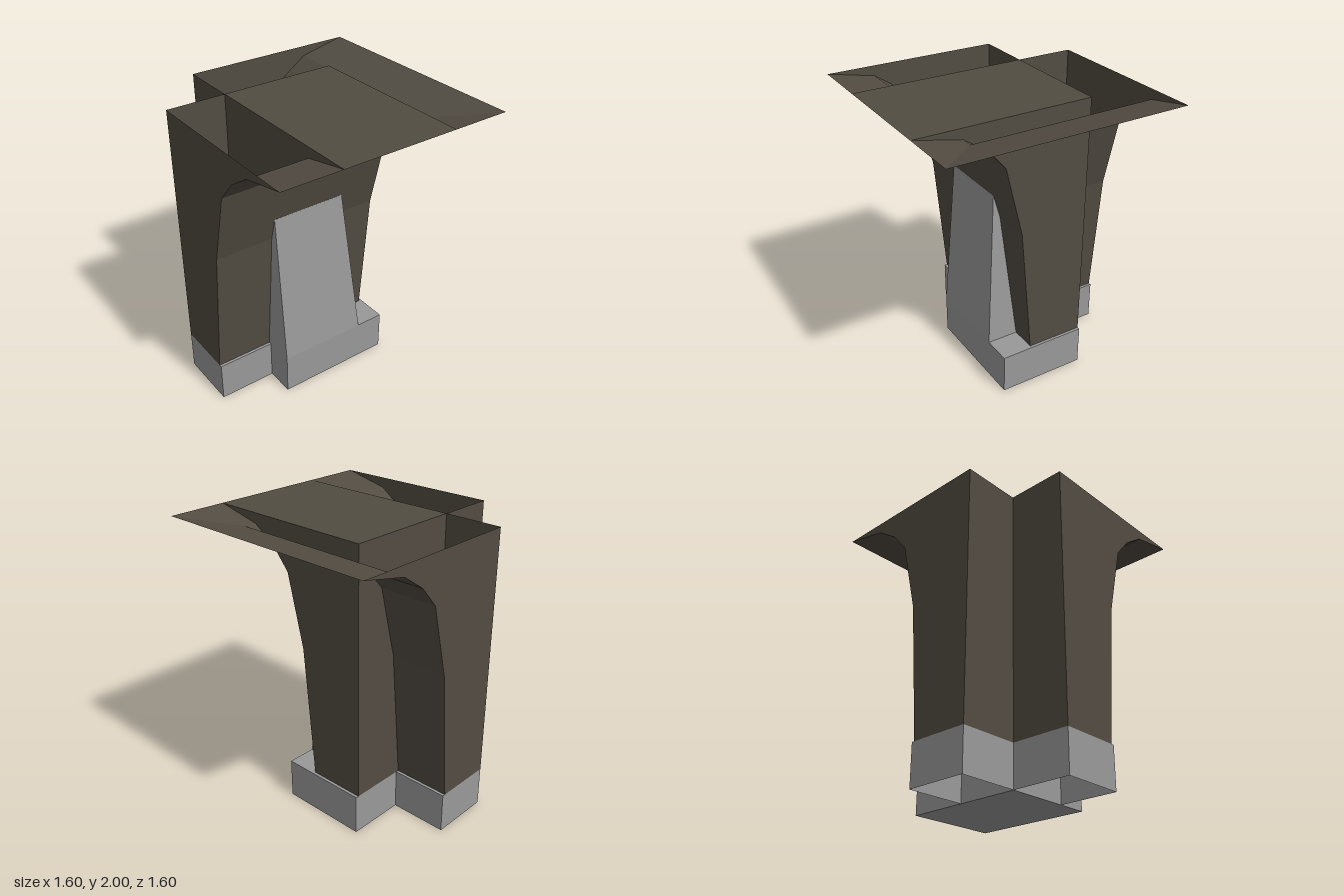
import * as THREE from 'three';

const stone = new THREE.MeshStandardMaterial({ color: 0x524c42, side: THREE.DoubleSide });
stone.name = 'brown stone';
const plinth = new THREE.MeshStandardMaterial({ color: 0x999999, side: THREE.DoubleSide });
plinth.name = 'grey stone';

const R = 0.4;       // half width of the core
const E = 0.8;       // reach of the arms
const BASE = 0.28;   // plinth height
const TOP = 2;

// Vault profile: overhang, height
const profile = [
  [0, BASE], [0.08, 1.19], [0.2, 1.68], [0.32, 1.82], [R, 1.875], [0.48, 1.93], [E, TOP],
];

export function createModel() {
  const group = new THREE.Group();

  const add = (name, geometry, material) => {
    const mesh = new THREE.Mesh(geometry, material);
    mesh.name = name;
    group.add(mesh);
    return mesh;
  };

  // Flat-faced strip between two polylines
  const strip = (a, b) => {
    const pos = [];
    for (let i = 0; i < a.length - 1; i++) {
      pos.push(...a[i], ...a[i + 1], ...b[i + 1], ...a[i], ...b[i + 1], ...b[i]);
    }
    const g = new THREE.BufferGeometry();
    g.setAttribute('position', new THREE.Float32BufferAttribute(pos, 3));
    g.computeVertexNormals();
    return g;
  };

  // Upright wall from (x0, z0) to (x1, z1)
  const wall = (x0, z0, x1, z1, y0, y1) =>
    strip([[x0, y0, z0], [x1, y0, z1]], [[x0, y1, z0], [x1, y1, z1]]);

  // Curved faces, mitred along the groin
  add('sideVault', strip(
    profile.map(([d, y]) => [d, y, -Math.max(R, d)]),
    profile.map(([d, y]) => [d, y, E])), stone);
  add('rearVault', strip(
    profile.map(([d, y]) => [-E, y, -d]),
    profile.map(([, y]) => [-R, y, -0].map((v, i) => (i === 2 ? -profile.find((p) => p[1] === y)[0] : v)))), stone);
  const upper = profile.filter(([d]) => d >= R);
  add('rearVaultCorner', strip(
    upper.map(([d, y]) => [-R, y, -d]),
    upper.map(([d, y]) => [d, y, -d])), stone);

  // Profile-shaped end faces
  const shape = new THREE.Shape();
  shape.moveTo(-R, BASE);
  profile.forEach(([d, y]) => shape.lineTo(d, y));
  shape.lineTo(-R, TOP);
  const face = () => new THREE.ShapeGeometry(shape);
  add('frontArmEnd', face().translate(0, 0, E), stone);
  add('coreFront', face().translate(0, 0, R), stone);
  add('coreBack', face().translate(0, 0, -R), stone);
  add('rightArmEnd', face().rotateY(Math.PI / 2).translate(-E, 0, 0), stone);

  // Plain walls and the core's top slab
  add('coreAndArmWall', wall(-R, -R, -R, E, BASE, TOP), stone);
  add('rightArmFront', wall(-E, R, -R, R, BASE, TOP), stone);
  add('topSlab', strip(
    [[-R, TOP, R], [E, TOP, R]],
    [[-R, TOP, -R], [E, TOP, -R]]), stone);

  // Hollow plinths under the two arms, with a narrow ledge
  const t = 0.02;
  add('frontArmPlinthEnd', wall(-R, E, t, E, 0, BASE), plinth);
  add('frontArmPlinthInner', wall(-R, R, -R, E, 0, BASE), plinth);
  add('frontArmPlinthOuter', wall(t, E, t, R, 0, BASE), plinth);
  add('frontArmLedge', strip(
    [[0, BASE, E], [t, BASE, E]], [[0, BASE, R], [t, BASE, R]]), plinth);
  add('rightArmPlinthEnd', wall(-E, -t, -E, R, 0, BASE), plinth);
  add('rightArmPlinthFront', wall(-E, R, -R, R, 0, BASE), plinth);
  add('rightArmPlinthBack', wall(-R, -t, -E, -t, 0, BASE), plinth);
  add('rightArmLedge', strip(
    [[-E, BASE, 0], [-R, BASE, 0]], [[-E, BASE, -t], [-R, BASE, -t]]), plinth);

  // Solid plinth under the core
  add('corePlinth', new THREE.BoxGeometry(0.62, BASE, 0.82)
    .translate(-0.09, BASE / 2, -0.01), plinth);

  // Tapered buttress dying into the curved face: height, inner x, outer x, back z
  const levels = [[BASE, -0.005, 0.22, -0.22], [1.19, 0.075, 0.135, -0.135], [1.35, 0.115, 0.12, -0.12]];
  const buttress = new THREE.BoxGeometry(1, 1, 1, 1, 2, 1).toNonIndexed();
  const p = buttress.attributes.position;
  for (let i = 0; i < p.count; i++) {
    const [y, inner, outer, back] = levels[Math.round((p.getY(i) + 0.5) * 2)];
    p.setXYZ(i, p.getX(i) > 0 ? outer : inner, y, p.getZ(i) > 0 ? R : back);
  }
  buttress.computeVertexNormals();
  add('buttress', buttress, plinth);

  return group;
}
